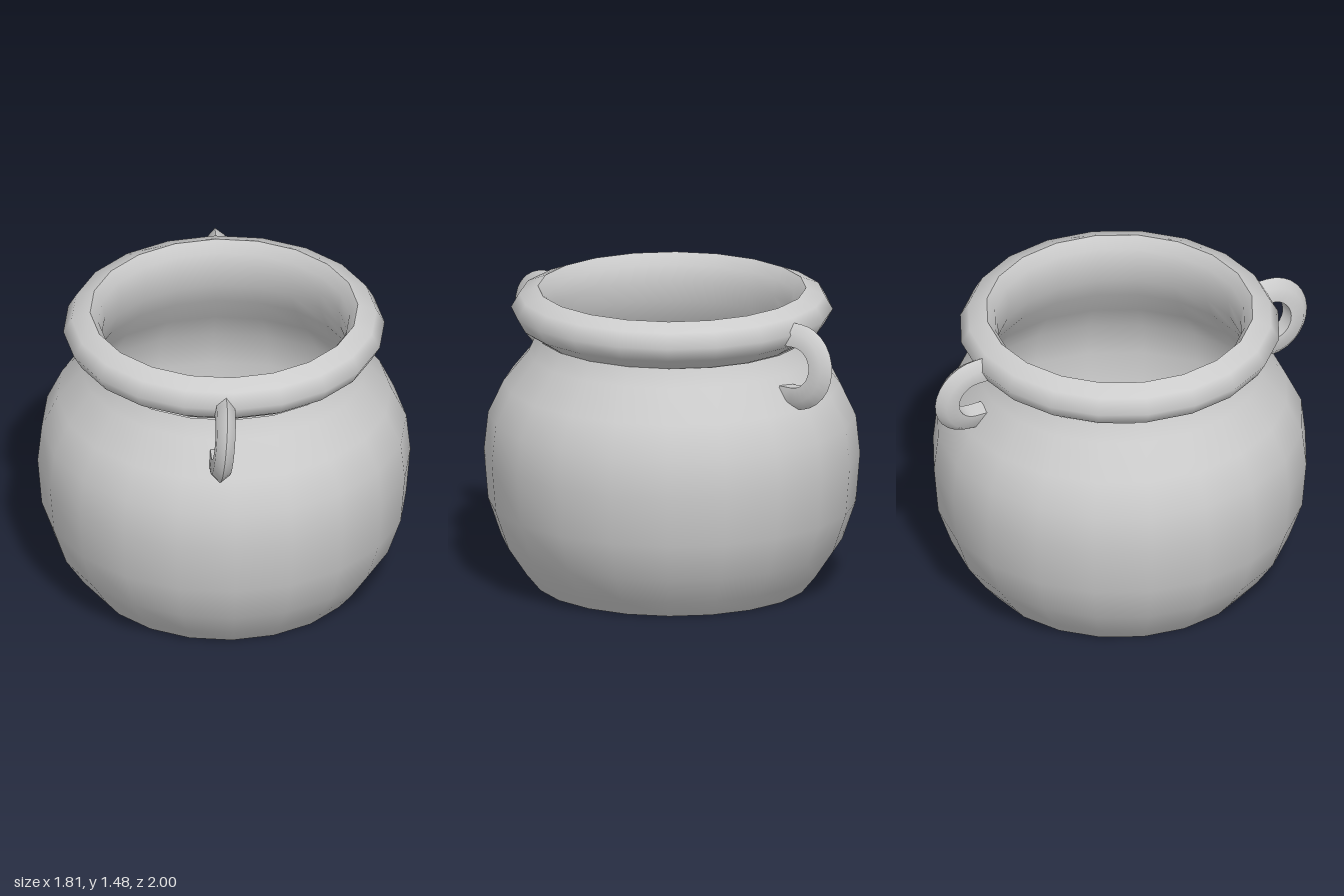
import * as THREE from 'three';
import { toCreasedNormals } from 'three/addons/utils/BufferGeometryUtils.js';

const SIDES = 20;

export function createModel() {
  const iron = new THREE.MeshStandardMaterial({ color: 0xcccccc });
  iron.name = 'grey iron';
  const pot = new THREE.Group();
  pot.name = 'pot';

  const add = (name, geometry, parent = pot) => {
    const mesh = new THREE.Mesh(geometry, iron);
    mesh.name = name;
    parent.add(mesh);
    return mesh;
  };
  const lathe = (name, profile) =>
    add(name, new THREE.LatheGeometry(profile.map(([r, y]) => new THREE.Vector2(r, y)), SIDES));

  // Round belly, narrowing to the neck, very slightly deeper than wide
  const body = lathe('body', [
    [0.66, 0], [0.73, 0.085], [0.82, 0.22], [0.885, 0.41], [0.905, 0.65],
    [0.885, 0.84], [0.81, 1.0], [0.69, 1.15], [0.65, 1.24],
  ]);
  body.scale.z = 1.012;

  // Thick rolled rim
  lathe('rim', [[0.64, 1.235], [0.74, 1.3], [0.78, 1.37], [0.74, 1.44], [0.65, 1.475]]);

  // Bevelled mouth running smoothly into the hollow inside
  lathe('innerWall', [
    [0.65, 1.475], [0.61, 1.42], [0.595, 1.34], [0.605, 1.24], [0.645, 1.13], [0.74, 0.98],
    [0.83, 0.83], [0.86, 0.65], [0.84, 0.42], [0.78, 0.24], [0.64, 0.05],
  ]);
  const floor = add('innerFloor', new THREE.CircleGeometry(0.64, SIDES));
  floor.rotation.x = -Math.PI / 2;
  floor.position.y = 0.05;
  const base = add('base', new THREE.CircleGeometry(0.66, SIDES));
  base.rotation.x = Math.PI / 2;

  // One ridged ear handle on the front and one on the back
  const handle = handleGeometry();
  for (const [name, turn, x] of [['frontHandle', 0, -0.055], ['backHandle', Math.PI, -0.028]]) {
    const mount = new THREE.Group();
    mount.name = name;
    mount.rotation.y = turn;
    pot.add(mount);
    const ear = add(name + 'Loop', handle, mount);
    ear.position.set(x, 1.21, 0.79);
    ear.rotation.z = -0.1;
  }
  return pot;
}

// Sweeps a ridged section around a half circle with straight ends into the pot
function handleGeometry() {
  const section = [[0.1, -0.045], [0.17, -0.045], [0.21, 0], [0.17, 0.045], [0.1, 0.045]];
  const steps = 14, n = section.length;
  const path = [[-Math.PI / 2, -0.07]];
  for (let i = 0; i <= steps; i++) path.push([-Math.PI / 2 + (Math.PI * i) / steps, 0]);
  path.push([Math.PI / 2, -0.07]);

  const positions = [], index = [];
  for (const [angle, shift] of path)
    for (const [r, x] of section)
      positions.push(x, r * Math.sin(angle), r * Math.cos(angle) + shift);
  for (let i = 0; i < path.length - 1; i++)
    for (let j = 0; j < n; j++) {
      const a = i * n + j, b = i * n + ((j + 1) % n);
      index.push(a, b, a + n, b, b + n, a + n);
    }
  // End caps
  const last = (path.length - 1) * n;
  for (let j = 1; j < n - 1; j++) {
    index.push(0, j + 1, j);
    index.push(last, last + j, last + j + 1);
  }
  const geometry = new THREE.BufferGeometry();
  geometry.setAttribute('position', new THREE.Float32BufferAttribute(positions, 3));
  geometry.setIndex(index);
  return toCreasedNormals(geometry, 0.9);
}
